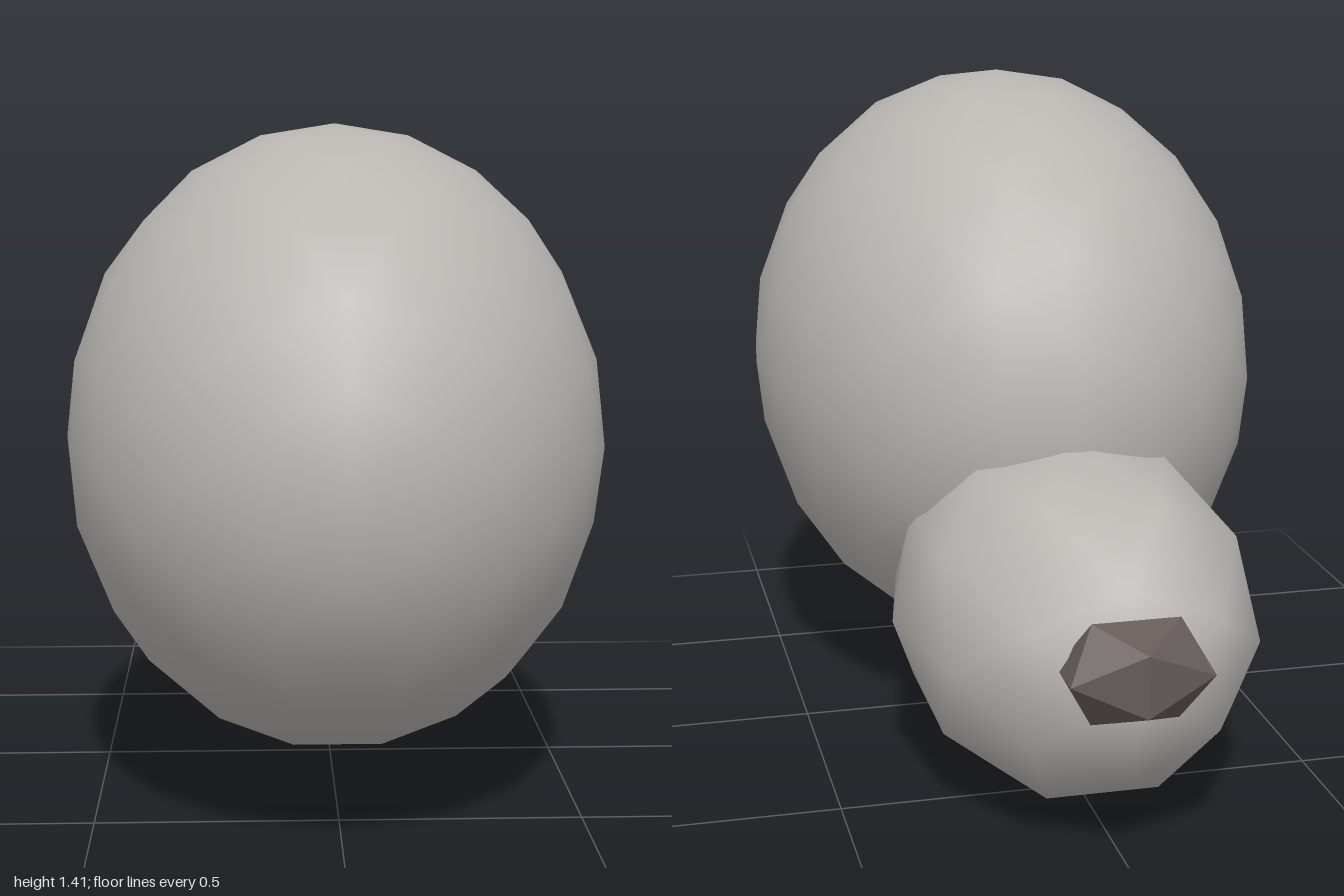
import * as THREE from 'three';

const fur = new THREE.MeshStandardMaterial({ color: 0xbab7b3 });
fur.name = 'pale grey';
const dark = new THREE.MeshStandardMaterial({ color: 0x645b59 });
dark.name = 'dark grey brown';

// Unit icosahedron, each pass halving every edge; smooth once subdivided, flat at zero passes
function icoBall(passes) {
  let g = new THREE.IcosahedronGeometry(1, 0);
  for (let i = 0; i < passes; i++) {
    const p = g.getAttribute('position');
    g = new THREE.PolyhedronGeometry(Array.from(p.array), Array.from({ length: p.count }, (_, k) => k), 1, 1);
  }
  return g;
}

function ellipsoid(name, passes, radii, position, material) {
  const mesh = new THREE.Mesh(icoBall(passes).scale(...radii), material);
  mesh.position.set(...position);
  mesh.name = name;
  return mesh;
}

export function createModel() {
  const model = new THREE.Group();
  model.name = 'roundCreature';
  model.add(
    // Large egg-shaped front mass
    ellipsoid('largeBody', 2, [0.562, 0.65, 0.75], [0, 0.765, 0.25], fur),
    // Smaller, coarser lobe behind and below
    ellipsoid('rearLobe', 1, [0.375, 0.37, 0.53], [0, 0.372, -0.43], fur),
    // Faceted dark tip
    ellipsoid('darkTip', 0, [0.165, 0.118, 0.103], [0, 0.42, -0.913], dark),
  );
  return model;
}
